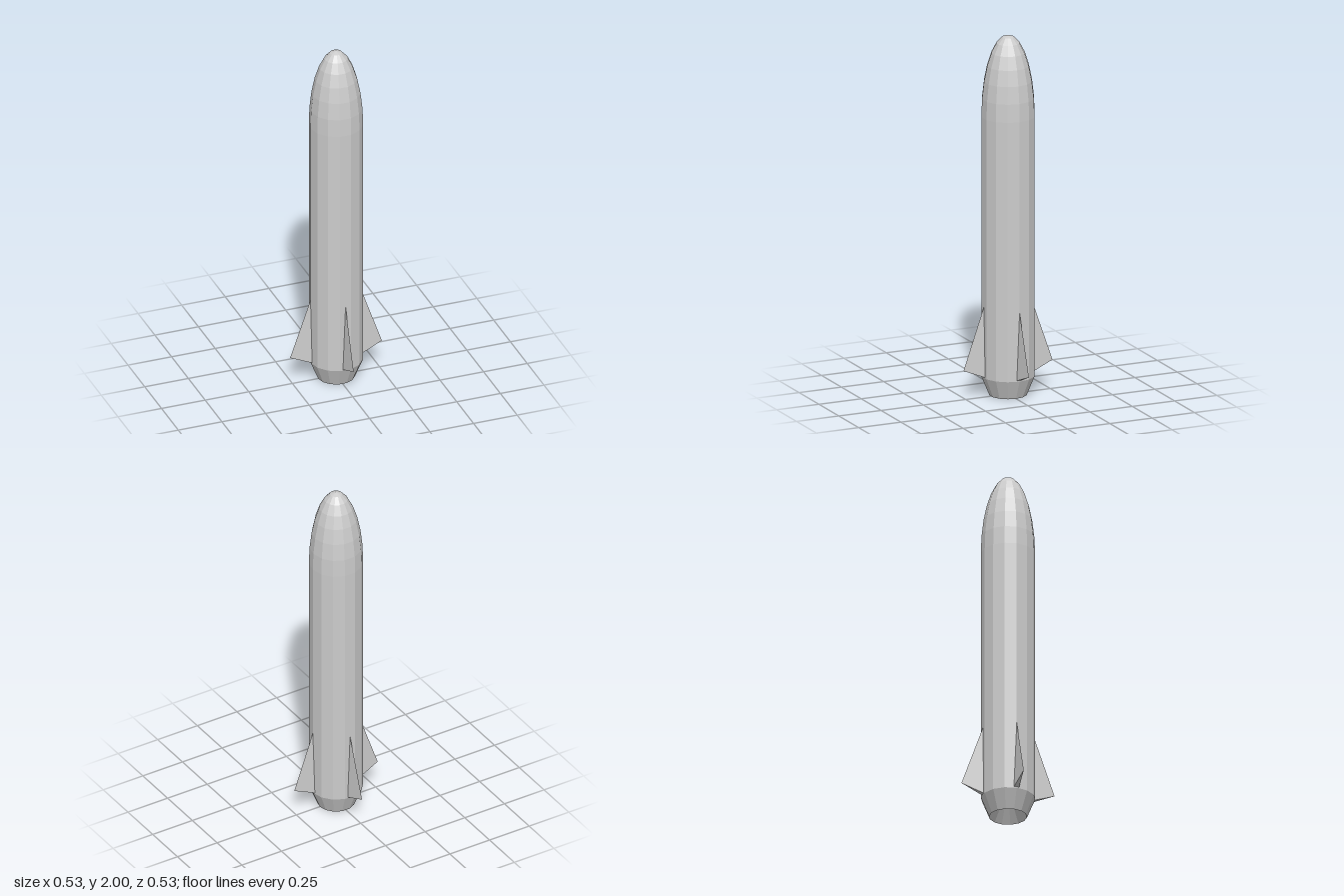
import * as THREE from 'three';
import { ConvexGeometry } from 'three/addons/geometries/ConvexGeometry.js';

const SIDES = 14;
const R = 0.146;          // hull radius
const HULL_BASE = 0.107;
const NOSE_BASE = 1.55;
const HEIGHT = 2;

const material = new THREE.MeshStandardMaterial({
  color: 0xcccccc, flatShading: true, side: THREE.DoubleSide,
});

function addMesh(parent, name, geometry) {
  const mesh = new THREE.Mesh(geometry, material);
  mesh.name = name;
  parent.add(mesh);
  return mesh;
}

// Faceted solid of revolution with a corner on the x axis
function turned(points) {
  const profile = points.map(([r, y]) => new THREE.Vector2(r, y));
  return new THREE.LatheGeometry(profile, SIDES, Math.PI / 2);
}

export function createModel() {
  const rocket = new THREE.Group();
  rocket.name = 'rocket';

  // Straight hull
  addMesh(rocket, 'hull', turned([[R, HULL_BASE], [R, NOSE_BASE]]));

  // Elliptical nose
  const rings = 7;
  const nose = [];
  for (let i = 0; i <= rings; i++) {
    const a = (i / rings) * Math.PI / 2;
    nose.push([i === rings ? 0 : R * Math.cos(a), NOSE_BASE + (HEIGHT - NOSE_BASE) * Math.sin(a)]);
  }
  addMesh(rocket, 'nose', turned(nose));

  // Tapered engine skirt with a hollow exhaust bell
  addMesh(rocket, 'engineBell', turned([
    [0, 0.1], [0.045, 0.1], [0.102, 0], [R, HULL_BASE],
  ]));

  // Four wedge fins, thick at the lower root and sharp along the leading edge
  const finGeometry = new ConvexGeometry([
    new THREE.Vector3(0.138, 0.515, 0),
    new THREE.Vector3(0.263, 0.16, 0),
    new THREE.Vector3(0.132, 0.108, 0.016),
    new THREE.Vector3(0.132, 0.108, -0.016),
  ]);
  ['leftFin', 'backFin', 'rightFin', 'frontFin'].forEach((name, i) => {
    addMesh(rocket, name, finGeometry).rotation.y = i * Math.PI / 2;
  });

  return rocket;
}
